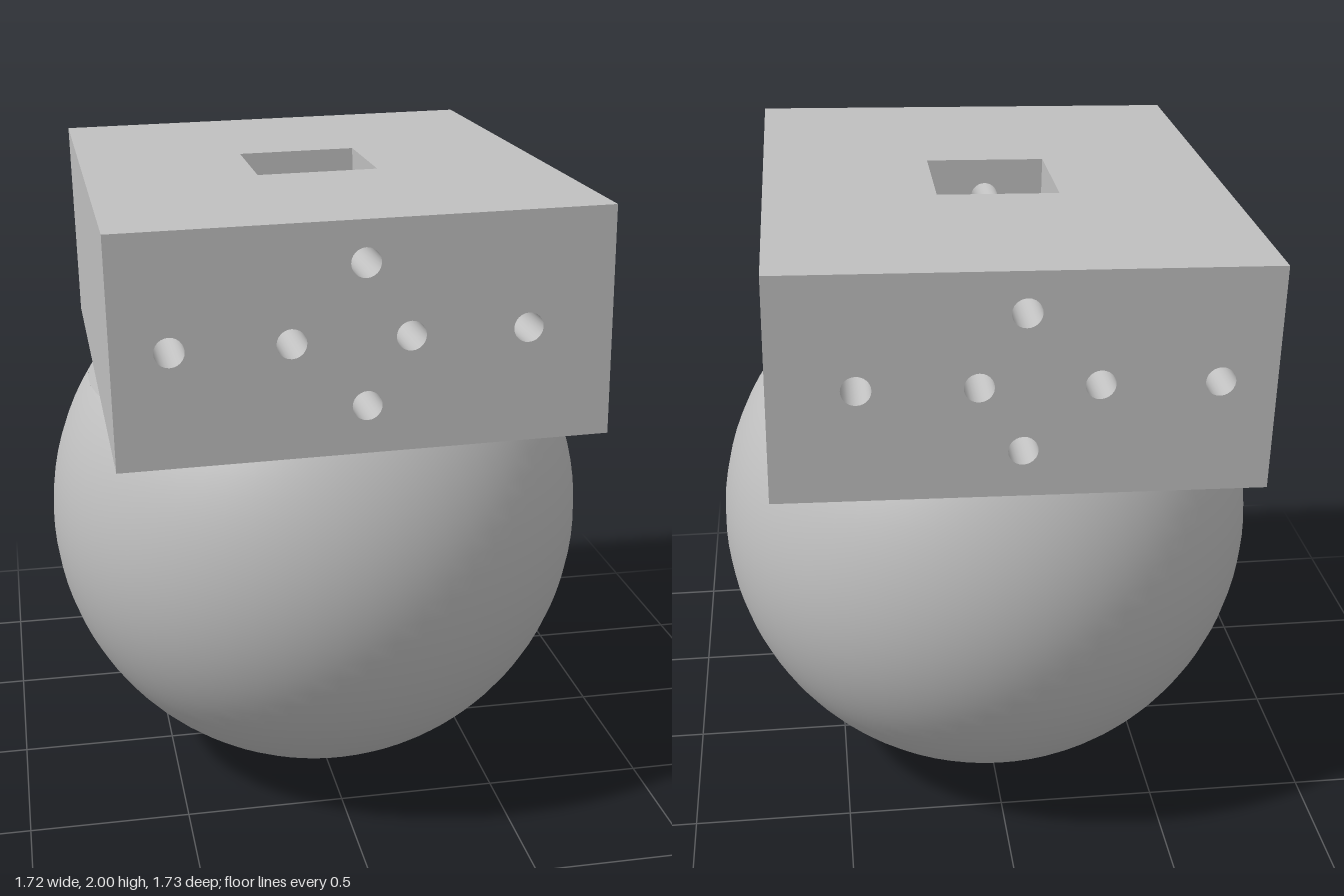
import * as THREE from 'three';

// Local frame: origin at the ball centre, block above it
const R = 0.86;                          // ball radius
const HX = 0.6945, HZ = 0.862;           // block half width and half depth
const Y0 = 0.4725, Y1 = 1.1275;          // block bottom and top
const PIT = 0.183, FLOOR = -0.2;         // square shaft half size and floor height
const HOLE = 0.042;                      // drilled hole radius
const MID = (Y0 + Y1) / 2;
const outerHoles = [[-0.536, MID], [0.454, MID]];
const pitHoles = [[0, MID + 0.21], [0, MID - 0.19], [0.124, MID]];
const edgeHole = [-0.206, MID];          // grazes the shaft's side wall
const GRAZE = Math.acos((-PIT - edgeHole[0]) / HOLE);

const arc = (cx, cy, r, a0, a1, n) => Array.from({ length: n + 1 }, (_, i) => {
  const a = a0 + (a1 - a0) * i / n;
  return [cx + r * Math.cos(a), cy + r * Math.sin(a)];
});
const circle = ([x, y]) => arc(x, y, HOLE, 0, Math.PI * 2, 24).slice(0, -1);
const rect = (x0, y0, x1, y1) => [[x0, y0], [x1, y0], [x1, y1], [x0, y1]];

export function createModel() {
  const grey = new THREE.MeshStandardMaterial({ color: 0xc0c0c0, side: THREE.DoubleSide });
  grey.name = 'grey';

  const model = new THREE.Group();
  model.name = 'blockOnBall';
  const body = new THREE.Group();
  body.name = 'tiltedBody';
  body.position.set(0, R, 0.003);
  body.rotation.set(-0.005, 0, 0.018);
  model.add(body);

  const add = (name, geometry, pos = [0, 0, 0], rot = [0, 0, 0]) => {
    const mesh = new THREE.Mesh(geometry, grey);
    mesh.name = name;
    mesh.position.set(...pos);
    mesh.rotation.set(...rot);
    body.add(mesh);
  };

  // Flat face from an outline and holes; flip mirrors it in x
  const face = (name, outline, holes, pos, rot, flip = 1) => {
    const toPoints = list => list.map(([x, y]) => new THREE.Vector2(x * flip, y));
    const shape = new THREE.Shape(toPoints(outline));
    shape.holes = holes.map(h => new THREE.Path(toPoints(h)));
    add(name, new THREE.ShapeGeometry(shape), pos, rot);
  };

  // Open bore along z
  const bore = ([x, y], z0, z1, start = 0, length = Math.PI * 2) => {
    const g = new THREE.CylinderGeometry(HOLE, HOLE, z1 - z0, 24, 1, true, start, length);
    add('drilledHole', g, [x, y, (z0 + z1) / 2], [Math.PI / 2, 0, 0]);
  };

  const Q = Math.PI / 2;

  // Ball with a flat cut where the block sits
  const cut = Math.acos(Y0 / R);
  add('ball', new THREE.SphereGeometry(R, 64, 32, 0, Math.PI * 2, cut, Math.PI - cut));

  // Block outside faces
  const allHoles = [...outerHoles, ...pitHoles, edgeHole].map(circle);
  const endFace = rect(-HX, Y0, HX, Y1);
  face('blockFront', endFace, allHoles, [0, 0, HZ], [0, 0, 0]);
  face('blockBack', endFace, allHoles, [0, 0, -HZ], [0, Math.PI, 0], -1);
  const sideFace = rect(-HZ, Y0, HZ, Y1);
  face('blockLeftSide', sideFace, [], [HX, 0, 0], [0, Q, 0]);
  face('blockRightSide', sideFace, [], [-HX, 0, 0], [0, -Q, 0]);
  face('blockTop', rect(-HX, -HZ, HX, HZ), [rect(-PIT, -PIT, PIT, PIT)], [0, Y1, 0], [-Q, 0, 0]);

  // Underside in front of and behind the ball, and the ball's flat slivers at each side
  const rc = Math.sqrt(R * R - Y0 * Y0);
  const a = Math.acos(HX / rc);
  const underside = [...arc(0, 0, rc, a, Math.PI - a, 48), [-HX, HZ], [HX, HZ]];
  const sliver = arc(0, 0, rc, -a, a, 8);
  for (const s of [1, -1]) {
    face('blockUnderside', underside.map(([x, y]) => [x, y * s]), [], [0, Y0, 0], [Q, 0, 0]);
    face('ballFlat', sliver, [], [0, Y0, 0], [-Q, 0, 0], s);
  }

  // Square shaft: end walls notched by the grazing hole
  const endWall = [[-PIT, FLOOR], [PIT, FLOOR], [PIT, Y1], [-PIT, Y1],
    ...arc(...edgeHole, HOLE, GRAZE, -GRAZE, 10)];
  const wallHoles = pitHoles.map(circle);
  face('shaftBackWall', endWall, wallHoles, [0, 0, -PIT], [0, 0, 0]);
  face('shaftFrontWall', endWall, wallHoles, [0, 0, PIT], [0, Math.PI, 0], -1);

  // Shaft side walls, the right one slotted by the grazing hole
  const slot = HOLE * Math.sin(GRAZE);
  face('shaftLeftWall', rect(-PIT, FLOOR, PIT, Y1), [], [PIT, 0, 0], [0, -Q, 0]);
  face('shaftRightWallLower', rect(-PIT, FLOOR, PIT, MID - slot), [], [-PIT, 0, 0], [0, Q, 0]);
  face('shaftRightWallUpper', rect(-PIT, MID + slot, PIT, Y1), [], [-PIT, 0, 0], [0, Q, 0]);
  face('shaftFloor', rect(-PIT, -PIT, PIT, PIT), [], [0, FLOOR, 0], [-Q, 0, 0]);

  // Drilled holes, interrupted where they cross the shaft
  outerHoles.forEach(h => bore(h, -HZ, HZ));
  for (const h of [...pitHoles, edgeHole]) {
    bore(h, PIT, HZ);
    bore(h, -HZ, -PIT);
  }
  bore(edgeHole, -PIT, PIT, Q + GRAZE, Math.PI * 2 - 2 * GRAZE);

  return model;
}
